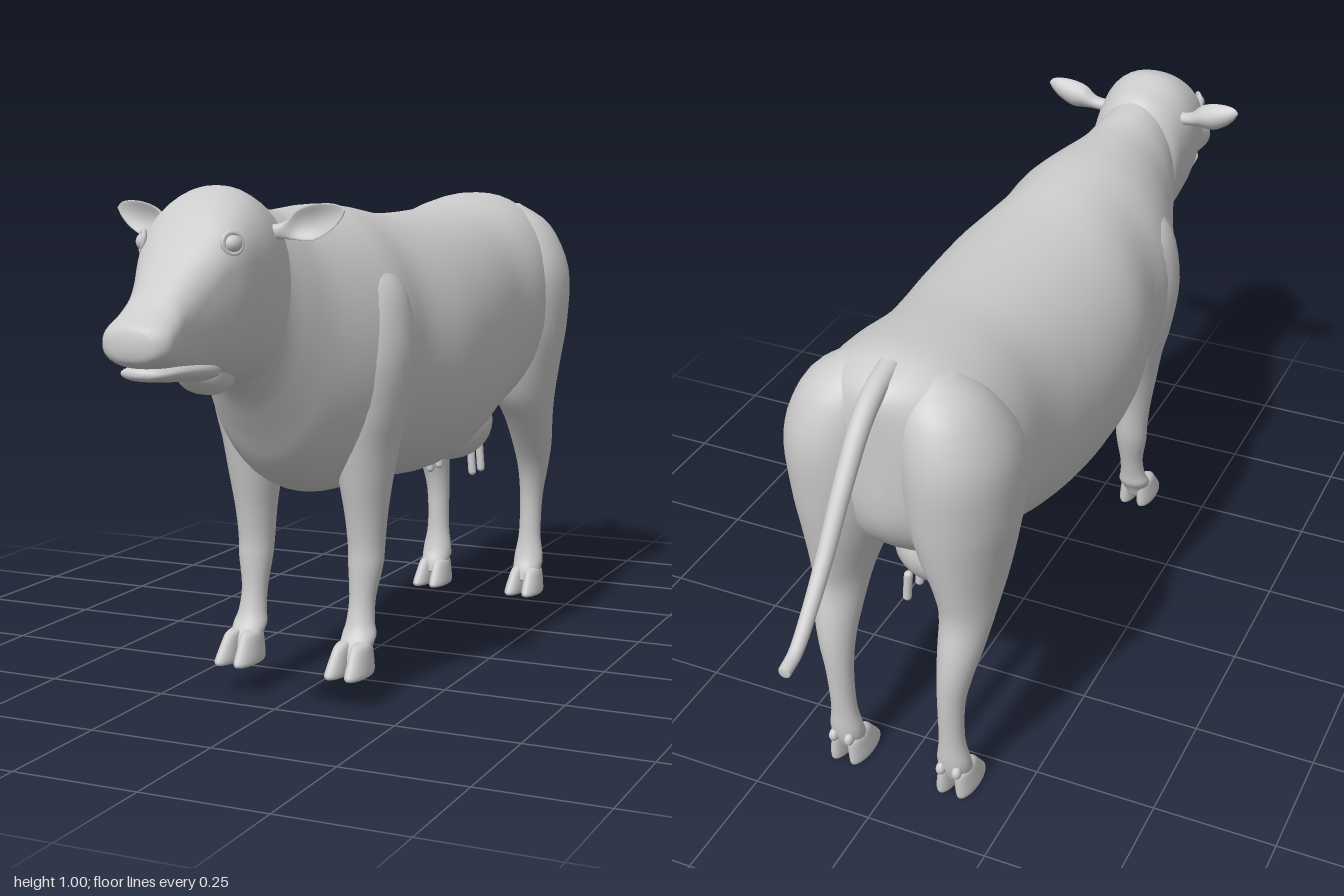
import * as THREE from 'three';

const material = new THREE.MeshStandardMaterial({ color: 0xcccccc });
const SIDES = [1, -1];

// Catmull-Rom blend of neighbouring section rows
function blend(rows, u) {
  const i = Math.min(Math.floor(u), rows.length - 2), f = u - i;
  const at = k => rows[Math.max(0, Math.min(rows.length - 1, k))];
  return rows[i].map((_, c) => {
    const a = at(i - 1)[c], b = at(i)[c], d = at(i + 1)[c], e = at(i + 2)[c];
    return b + 0.5 * f * (d - a + f * (2 * a - 5 * b + 4 * d - e + f * (3 * (b - d) + e - a)));
  });
}

// Closed smooth skin through cross-sections; place(row, cos, sin) gives a point
function loft(rows, place, around = 32, steps = 4) {
  const pos = [], idx = [], rings = (rows.length - 1) * steps;
  for (let i = 0; i <= rings; i++) {
    const row = blend(rows, i / steps);
    for (let j = 0; j < around; j++) {
      const a = (j / around) * Math.PI * 2;
      pos.push(...place(row, Math.cos(a), Math.sin(a)));
    }
  }
  for (let i = 0; i < rings; i++) {
    for (let j = 0; j < around; j++) {
      const a = i * around + j, b = i * around + (j + 1) % around;
      idx.push(a, b, a + around, b, b + around, a + around);
    }
  }
  // close both ends
  for (const end of [0, rings]) {
    const c = pos.length / 3, ring = pos.slice(end * around * 3, (end + 1) * around * 3);
    const mean = [0, 1, 2].map(k => ring.reduce((s, v, n) => s + (n % 3 === k ? v : 0), 0) / around);
    pos.push(...mean);
    for (let j = 0; j < around; j++) {
      const a = end * around + j, b = end * around + (j + 1) % around;
      idx.push(...(end ? [a, b, c] : [b, a, c]));
    }
  }
  const g = new THREE.BufferGeometry();
  g.setAttribute('position', new THREE.Float32BufferAttribute(pos, 3));
  g.setIndex(idx);
  g.computeVertexNormals();
  return g;
}

const soft = (v, p) => Math.sign(v) * Math.abs(v) ** p;
// rows along z: [z, halfWidth, top, middle, bottom, squareness]
const alongZ = ([z, w, top, mid, bot, p], c, s) =>
  [w * soft(c, p), mid + (s > 0 ? top - mid : mid - bot) * soft(s, p), z];
// rows down y: [y, centreX, radiusX, centreZ, radiusZ]
const downY = side => ([y, cx, rx, cz, rz], c, s) => [side * cx + rx * c, y, cz + rz * s];

export function createModel() {
  const model = new THREE.Group();
  const add = (name, geometry, parent = model) => {
    const m = new THREE.Mesh(geometry, material);
    m.name = name;
    parent.add(m);
    return m;
  };
  const ball = (name, x, y, z, rx, ry, rz, parent) => {
    const m = add(name, new THREE.SphereGeometry(1, 24, 16), parent);
    m.position.set(x, y, z);
    m.scale.set(rx, ry, rz);
    return m;
  };

  // Trunk and neck
  add('body', loft([
    [-0.655, 0.02, 0.88, 0.8, 0.7, 1],
    [-0.645, 0.07, 0.91, 0.78, 0.63, 0.95],
    [-0.61, 0.14, 0.937, 0.76, 0.57, 0.9],
    [-0.55, 0.188, 0.955, 0.74, 0.52, 0.9],
    [-0.45, 0.208, 0.948, 0.71, 0.47, 0.9],
    [-0.32, 0.205, 0.932, 0.68, 0.425, 0.92],
    [-0.2, 0.22, 0.926, 0.67, 0.385, 0.95],
    [-0.07, 0.236, 0.925, 0.665, 0.37, 0.97],
    [0.08, 0.237, 0.93, 0.665, 0.383, 0.97],
    [0.22, 0.207, 0.949, 0.67, 0.4, 1],
    [0.32, 0.205, 0.956, 0.68, 0.395, 1],
    [0.41, 0.18, 0.953, 0.69, 0.412, 1],
    [0.5, 0.143, 0.95, 0.71, 0.46, 1],
    [0.56, 0.12, 0.958, 0.75, 0.54, 1],
    [0.62, 0.098, 0.966, 0.79, 0.62, 1],
    [0.68, 0.09, 0.965, 0.82, 0.66, 1]], alongZ, 48));

  // Head
  const head = new THREE.Group();
  head.name = 'head';
  model.add(head);
  add('skull', loft([
    [0.59, 0.08, 0.95, 0.82, 0.67, 0.95],
    [0.615, 0.1, 0.974, 0.83, 0.645, 0.93],
    [0.65, 0.107, 0.987, 0.845, 0.645, 0.9],
    [0.7, 0.111, 1.0, 0.86, 0.655, 0.9],
    [0.75, 0.108, 0.988, 0.87, 0.662, 0.9],
    [0.79, 0.101, 0.962, 0.87, 0.67, 0.9],
    [0.83, 0.086, 0.922, 0.85, 0.676, 0.88],
    [0.87, 0.07, 0.88, 0.81, 0.686, 0.85],
    [0.91, 0.061, 0.84, 0.775, 0.695, 0.85],
    [0.945, 0.064, 0.808, 0.757, 0.703, 0.85],
    [0.975, 0.064, 0.79, 0.75, 0.71, 0.85],
    [0.994, 0.046, 0.777, 0.748, 0.72, 0.9],
    [1.0, 0.012, 0.755, 0.748, 0.738, 1]], alongZ, 40), head);
  add('lowerJaw', loft([
    [0.74, 0.03, 0.72, 0.69, 0.665, 1],
    [0.8, 0.055, 0.72, 0.69, 0.668, 1],
    [0.88, 0.05, 0.715, 0.695, 0.676, 1],
    [0.94, 0.047, 0.712, 0.697, 0.683, 1],
    [0.965, 0.036, 0.71, 0.698, 0.687, 1],
    [0.975, 0.006, 0.702, 0.698, 0.694, 1]], alongZ, 24), head);
  add('throatFold', loft([
    [0.66, 0.01, 0.7, 0.67, 0.64, 1],
    [0.7, 0.035, 0.71, 0.68, 0.637, 1],
    [0.75, 0.047, 0.71, 0.68, 0.638, 0.8],
    [0.785, 0.04, 0.71, 0.685, 0.653, 0.8],
    [0.81, 0.01, 0.7, 0.69, 0.675, 1]], alongZ, 24), head);

  for (const side of SIDES) {
    // Eye with its lid
    ball('eye', side * 0.084, 0.905, 0.8, 0.017, 0.017, 0.02, head);
    const lid = add('eyelid', new THREE.TorusGeometry(0.018, 0.005, 8, 24), head);
    lid.position.set(side * 0.087, 0.906, 0.806);
    lid.rotation.set(-0.2, side * 0.95, 0);
    // Nostril rim
    const nostril = add('nostril', new THREE.TorusGeometry(0.011, 0.004, 8, 20), head);
    nostril.position.set(side * 0.04, 0.762, 0.986);
    nostril.rotation.y = side * 0.6;
    nostril.scale.y = 0.75;
    // Cupped ear: rows [x, centreY, halfHeight, centreZ, thickness, cup]
    add('ear', loft([
      [0.085, 0.918, 0.014, 0.67, 0.014, 0],
      [0.115, 0.922, 0.015, 0.665, 0.013, 0.004],
      [0.14, 0.932, 0.026, 0.655, 0.009, 0.014],
      [0.17, 0.937, 0.031, 0.65, 0.007, 0.016],
      [0.2, 0.946, 0.024, 0.653, 0.006, 0.01],
      [0.218, 0.953, 0.013, 0.657, 0.004, 0.004],
      [0.226, 0.956, 0.002, 0.66, 0.002, 0]],
    ([x, cy, h, cz, t, cup], c, s) => [side * x, cy + h * c, cz + side * t * s + cup * c * c], 24), head);
  }

  // Legs
  const foreRows = [
    [0.86, 0.1, 0.03, 0.34, 0.03], [0.8, 0.115, 0.077, 0.335, 0.08],
    [0.68, 0.128, 0.085, 0.335, 0.1], [0.57, 0.127, 0.072, 0.335, 0.093],
    [0.5, 0.122, 0.06, 0.337, 0.08], [0.43, 0.12, 0.051, 0.34, 0.062],
    [0.36, 0.12, 0.041, 0.339, 0.047], [0.3, 0.12, 0.036, 0.338, 0.039],
    [0.26, 0.12, 0.034, 0.342, 0.035], [0.2, 0.118, 0.026, 0.352, 0.027],
    [0.155, 0.118, 0.028, 0.362, 0.026], [0.13, 0.119, 0.034, 0.37, 0.03],
    [0.11, 0.119, 0.032, 0.385, 0.032], [0.085, 0.119, 0.028, 0.395, 0.03]];
  const hindRows = [
    [0.93, 0.075, 0.03, -0.55, 0.03], [0.88, 0.095, 0.08, -0.555, 0.09],
    [0.78, 0.115, 0.108, -0.54, 0.137], [0.66, 0.118, 0.106, -0.53, 0.14],
    [0.57, 0.122, 0.088, -0.528, 0.128], [0.49, 0.13, 0.066, -0.535, 0.105],
    [0.43, 0.134, 0.053, -0.555, 0.077], [0.36, 0.132, 0.044, -0.588, 0.056],
    [0.3, 0.127, 0.035, -0.609, 0.04], [0.23, 0.121, 0.027, -0.617, 0.029],
    [0.14, 0.119, 0.026, -0.614, 0.025], [0.085, 0.119, 0.034, -0.608, 0.029],
    [0.055, 0.119, 0.033, -0.598, 0.033], [0.03, 0.119, 0.028, -0.59, 0.03]];
  const addLeg = (name, rows, side, y, z) => {
    const leg = new THREE.Group();
    leg.name = name;
    model.add(leg);
    add('limb', loft(rows, downY(side), 28), leg);
    const footX = side * 0.119;
    for (const half of SIDES) {
      // Cloven hoof and dewclaw
      add('hoofClaw', loft([
        [y + 0.062, 0.014, 0.008, z - 0.02, 0.02],
        [y + 0.055, 0.017, 0.016, z - 0.017, 0.036],
        [y + 0.03, 0.0195, 0.019, z - 0.008, 0.047],
        [y + 0.008, 0.021, 0.0205, z, 0.055],
        [y, 0.021, 0.019, z, 0.053]],
      (row, c, s) => {
        const p = downY(half)(row, c, s);
        return [footX + p[0], p[1], p[2]];
      }, 20), leg);
      ball('dewclaw', footX + half * 0.017, y + 0.068, z - 0.054, 0.01, 0.014, 0.012, leg);
    }
  };
  for (const side of SIDES) {
    const label = side > 0 ? 'left' : 'right';
    addLeg(label + 'ForeLeg', foreRows, side, 0.06, 0.415);
    addLeg(label + 'HindLeg', hindRows, side, 0, -0.578);
  }

  // Udder and teats
  ball('udder', 0, 0.44, -0.385, 0.1, 0.092, 0.105);
  for (const side of SIDES) {
    for (const z of [-0.4, -0.455]) {
      const teat = add('teat', new THREE.CapsuleGeometry(0.009, 0.055, 6, 14));
      teat.position.set(side * 0.05, 0.346, z);
      teat.rotation.z = side * 0.08;
    }
  }

  // Tapered tail
  const path = new THREE.CatmullRomCurve3([
    [0.935, -0.58], [0.92, -0.635], [0.885, -0.69], [0.8, -0.765], [0.7, -0.84],
    [0.62, -0.91], [0.575, -0.96], [0.563, -0.998]].map(([y, z]) => new THREE.Vector3(0, y, z)));
  const radius = t => 0.022 - 0.01 * t;
  const tail = new THREE.TubeGeometry(path, 48, 1, 16);
  const p = tail.attributes.position, v = new THREE.Vector3();
  for (let i = 0; i < p.count; i++) {
    const t = Math.floor(i / 17) / 48, c = path.getPointAt(t);
    v.fromBufferAttribute(p, i).sub(c).multiplyScalar(radius(t)).add(c);
    p.setXYZ(i, v.x, v.y, v.z);
  }
  add('tail', tail);
  ball('tailTip', 0, 0.563, -0.997, 0.012, 0.012, 0.003);

  return model;
}
